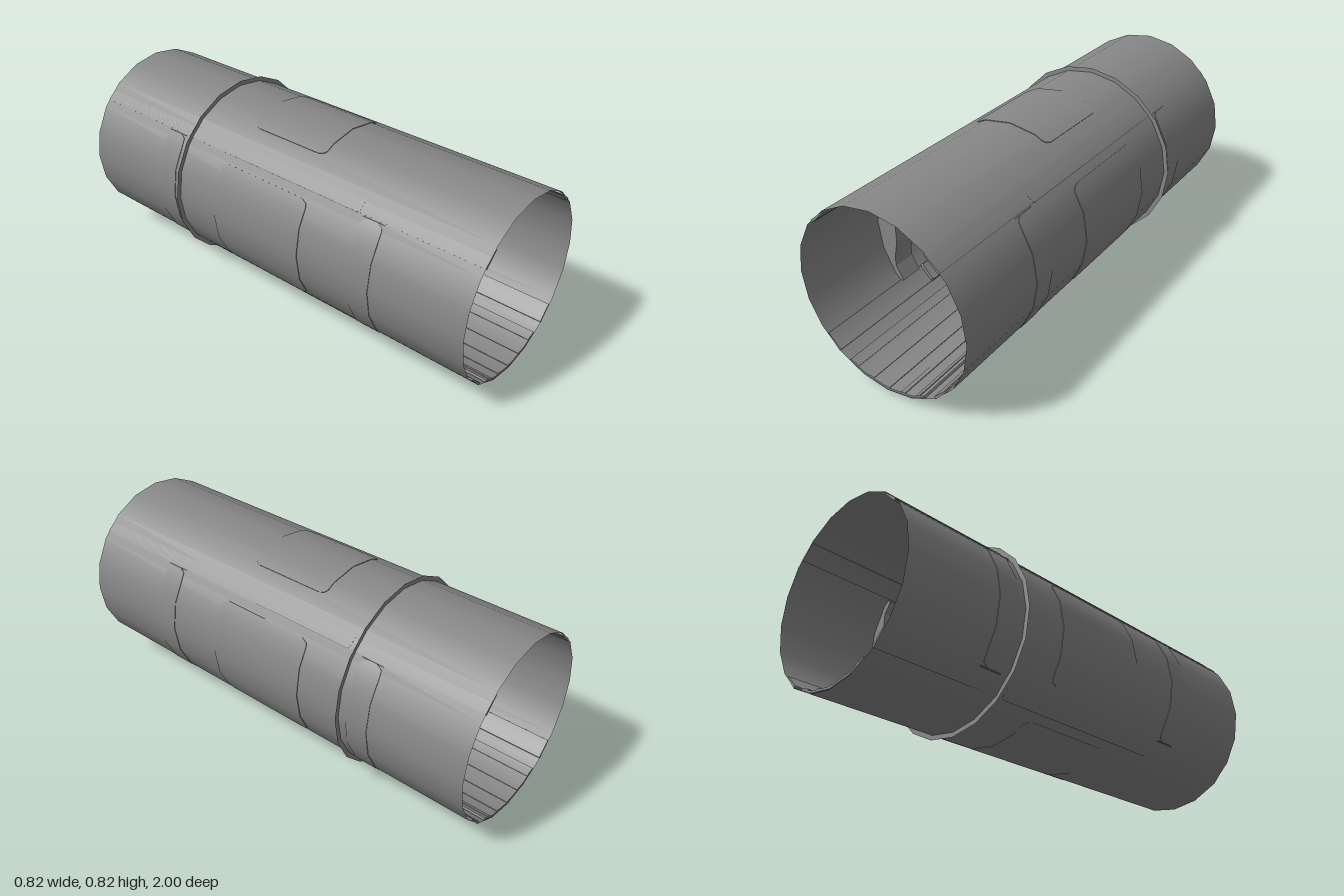
import * as THREE from 'three';

const CY = 0.413, R = 0.392, SIDES = 20, STEP = Math.PI * 2 / SIDES;
const rad = THREE.MathUtils.degToRad;

// radius of the 20-sided section at angle a, for corner radius r
function polyR(a, r) {
  const m = ((a % STEP) + STEP) % STEP;
  return r * Math.cos(STEP / 2) / Math.cos(m - STEP / 2);
}

export function createModel() {
  const root = new THREE.Group();
  const mat = new THREE.MeshStandardMaterial({ color: 0x878787 });
  const thin = new THREE.MeshStandardMaterial({ color: 0x878787, side: THREE.DoubleSide });

  const add = (name, geo, material = mat, z = 0, y = CY) => {
    const mesh = new THREE.Mesh(geo, material);
    mesh.name = name;
    mesh.position.set(0, y, z);
    root.add(mesh);
  };

  // slab wrapped onto the shell: angle range in degrees, radii, z range,
  // corner size, and how much prouder the outer face is at a0 than at a1
  function wrapped(name, a0, a1, r0, r1, z0, z1, corner = 0, tilt = 0) {
    const geo = new THREE.BoxGeometry(1, 1, 1, 40, 1, 1);
    const p = geo.attributes.position, n = geo.attributes.normal;
    const mid = rad((a0 + a1) / 2), span = rad(a1 - a0);
    const facing = Array.from({ length: n.count }, (_, i) => n.getY(i));
    const angle = Array.from({ length: p.count }, (_, i) => mid - p.getX(i) * span);
    for (let i = 0; i < p.count; i++) {
      const a = angle[i];
      const r = polyR(a, p.getY(i) > 0 ? r1 + tilt * p.getX(i) : r0);
      const edge = (0.5 - Math.abs(p.getX(i))) * span * R;
      const k = Math.max(0, corner - edge);
      const inset = corner - Math.sqrt(Math.max(0, corner * corner - k * k));
      const half = (z1 - z0) / 2 - inset;
      p.setXYZ(i, r * Math.cos(a), r * Math.sin(a), (z0 + z1) / 2 + Math.sign(p.getZ(i)) * half);
    }
    geo.computeVertexNormals();
    // the curved faces shade as one with the shell
    facing.forEach((f, i) => {
      if (Math.abs(f) > 0.5) n.setXYZ(i, f * Math.cos(angle[i]), f * Math.sin(angle[i]), 0);
    });
    add(name, geo);
  }

  // open shell
  const shell = new THREE.CylinderGeometry(R, R, 2, SIDES, 1, true);
  shell.rotateX(Math.PI / 2);
  add('shell', shell, thin);

  // flat collar cutting through the shell
  add('collar', new THREE.RingGeometry(0.342, 0.412, SIDES), thin, -0.44);

  // raised hatches on the sides, top and bottom
  wrapped('leftHatch', -35, 35, 0.385, 0.395, -0.23, 0.23, 0.03);
  wrapped('rightHatch', 145, 215, 0.385, 0.395, -0.23, 0.23, 0.03);
  wrapped('topHatch', 63, 117, 0.385, 0.395, -0.19, 0.19, 0.03);
  wrapped('bottomHatch', 240, 300, 0.385, 0.3935, -0.23, 0.23, 0.03);

  // diagonal rails: a full-length strip with a deeper block in the middle
  for (const a of [47, 133, 227, 313]) {
    const side = Math.sign(Math.cos(rad(a)));
    wrapped('railStrip', a - 6, a + 6, 0.384, 0.3925, -1, 1, 0, side * 0.006);
    wrapped('railBlock', a - 6.3, a + 6.3, 0.367, 0.393, -0.41, 0.46, 0.012, side * 0.007);
  }

  // floor plate with low ribs
  wrapped('floorPlate', 241, 299, 0.38, 0.389, -1, 1);
  for (const a of [-24, -12, 0, 12, 24]) {
    wrapped('floorRib', 268.5 + a, 271.5 + a, 0.377, 0.385, -1, 1);
  }

  // side frames: thick curved braces with a waisted inner edge and an outer pad
  const inner = [[0.3, 0.253], [0.278, 0.238], [0.311, 0.19], [0.313, 0.135], [0.297, 0.07],
    [0.297, -0.07], [0.313, -0.15], [0.311, -0.19], [0.276, -0.25], [0.297, -0.256]];
  for (const side of [1, -1]) {
    const label = side > 0 ? 'left' : 'right';
    const pts = inner.map(([x, y]) => new THREE.Vector2(side * x, y));
    for (let i = 0; i <= 18; i++) {
      const a = rad(-40 + i * 80 / 18), r = polyR(a, 0.39);
      pts.push(new THREE.Vector2(side * r * Math.cos(a), r * Math.sin(a)));
    }
    const shape = new THREE.Shape(pts);
    const middle = side > 0 ? 0 : 180;
    for (const z of [-0.525, 0.53]) {
      const geo = new THREE.ExtrudeGeometry(shape, { depth: 0.1, bevelEnabled: false });
      add(label + 'Frame', geo, mat, z - 0.05);
      wrapped(label + 'FramePad', middle - 40, middle + 40, 0.386, 0.3945, z - 0.05, z + 0.05, 0.03);
    }
  }

  // toothed wheel with hooked teeth, given as (sideways, outwards) points
  const tooth = [[-0.028, 0.126], [-0.003, 0.131], [-0.004, 0.15], [-0.014, 0.155], [-0.022, 0.142],
    [-0.031, 0.158], [0, 0.177], [0.011, 0.16], [0.018, 0.131]];
  const outline = [];
  const TEETH = 14, WHEEL_Y = 0.198;
  for (let i = 0; i < TEETH; i++) {
    const a = -i * Math.PI * 2 / TEETH, c = Math.cos(a), s = Math.sin(a);
    for (const [x, y] of tooth) outline.push(new THREE.Vector2(x * c - y * s, x * s + y * c));
  }
  const wheel = new THREE.Shape(outline);
  wheel.holes.push(new THREE.Path().absarc(0, 0, 0.032, 0, Math.PI * 2, true));
  add('toothedWheel', new THREE.ExtrudeGeometry(wheel, { depth: 0.016, bevelEnabled: false }), mat, -0.465, WHEEL_Y);

  // shallow conical hub on both faces of the wheel
  for (const side of [1, -1]) {
    const hub = new THREE.LatheGeometry(
      [new THREE.Vector2(0.032, side * 0.012), new THREE.Vector2(0.072, side * 0.008)], 32);
    hub.rotateX(Math.PI / 2);
    add('wheelHub', hub, thin, -0.457, WHEEL_Y);
  }

  return root;
}
